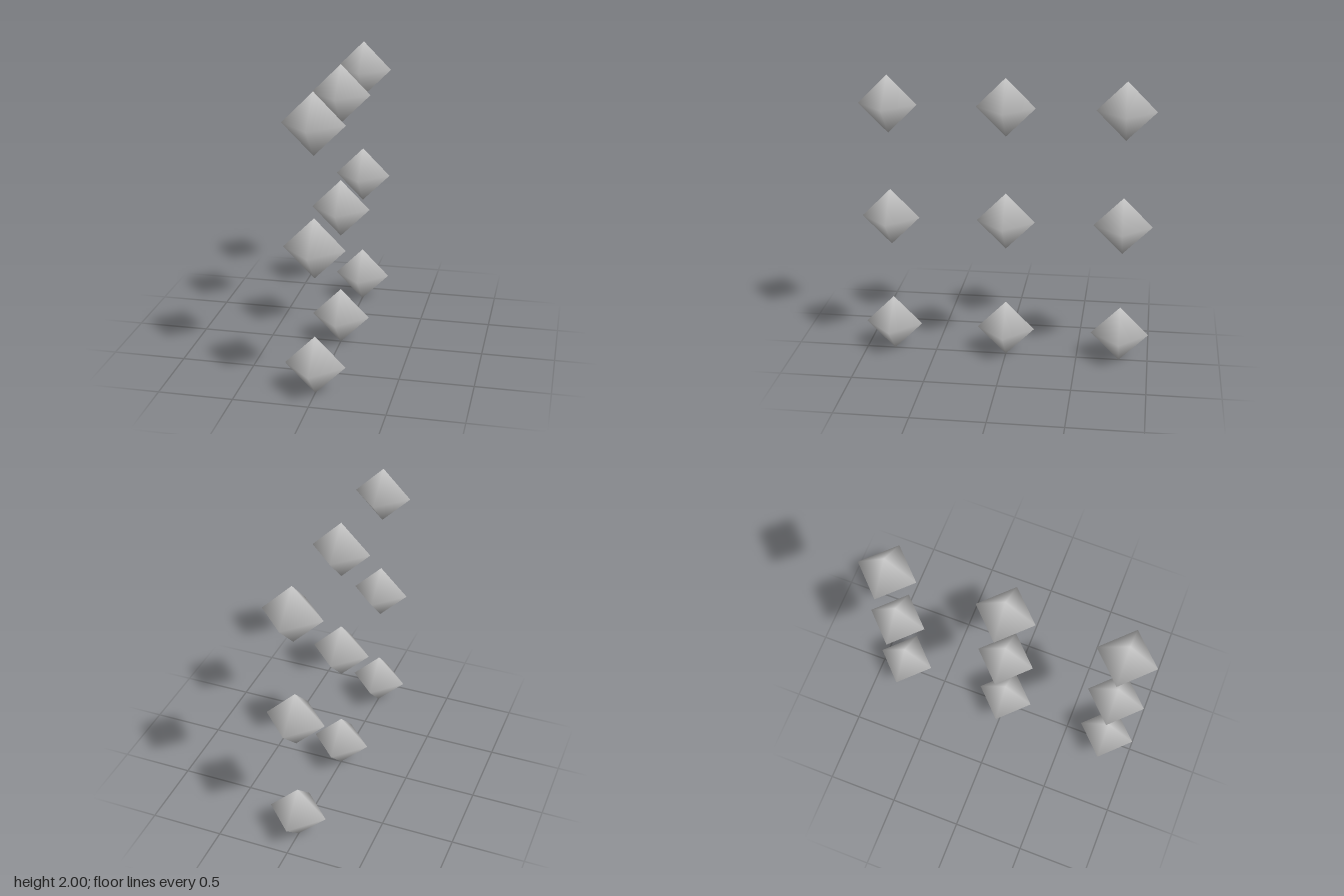
import * as THREE from 'three';
import { mergeVertices } from 'three/addons/utils/BufferGeometryUtils.js';

// Octahedron with shared corners, so its normals blend smoothly
function smoothOctahedron(radius) {
  const geometry = new THREE.OctahedronGeometry(radius);
  geometry.deleteAttribute('normal');
  geometry.deleteAttribute('uv');
  const merged = mergeVertices(geometry);
  merged.computeVertexNormals();
  return merged;
}

export function createModel() {
  const model = new THREE.Group();
  model.name = 'octahedronGrid';
  const material = new THREE.MeshStandardMaterial({ color: 0xcccccc });
  const radius = 0.2;
  const spacing = 0.8;
  const geometry = smoothOctahedron(radius);

  // Upright three by three grid in the plane x = 0
  for (let row = 0; row < 3; row++) {
    for (let column = 0; column < 3; column++) {
      const octahedron = new THREE.Mesh(geometry, material);
      octahedron.name = `octahedronRow${row + 1}Column${column + 1}`;
      octahedron.position.set(0, radius + row * spacing, (column - 1) * spacing);
      model.add(octahedron);
    }
  }
  return model;
}
